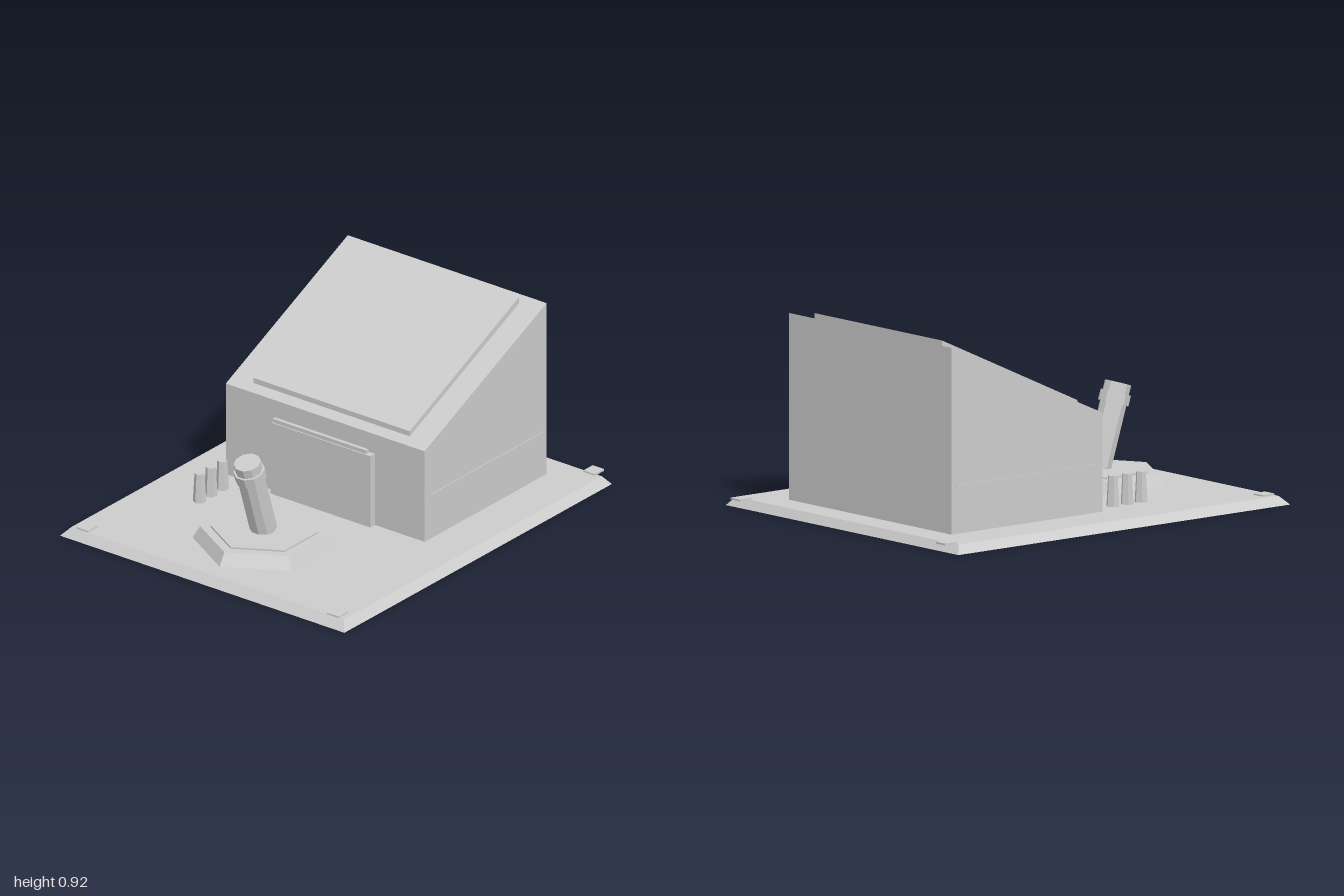
import * as THREE from 'three';

export function createModel() {
  const model = new THREE.Group();
  const material = new THREE.MeshStandardMaterial({ color: 0xcccccc, flatShading: true });

  function add(name, geometry, x = 0, y = 0, z = 0, parent = model) {
    const mesh = new THREE.Mesh(geometry, material);
    mesh.name = name;
    mesh.position.set(x, y, z);
    parent.add(mesh);
    return mesh;
  }

  // Box given by its extents on each axis
  function block(name, x0, x1, y0, y1, z0, z1) {
    return add(name, new THREE.BoxGeometry(x1 - x0, y1 - y0, z1 - z0),
      (x0 + x1) / 2, (y0 + y1) / 2, (z0 + z1) / 2);
  }

  // Side outline of [z, y] points, extruded across x
  function sideProfile(name, points, halfWidth) {
    const shape = new THREE.Shape(points.map(([z, y]) => new THREE.Vector2(-z, y)));
    const geometry = new THREE.ExtrudeGeometry(shape, { depth: halfWidth * 2, bevelEnabled: false });
    geometry.translate(0, 0, -halfWidth).rotateY(Math.PI / 2);
    return add(name, geometry);
  }

  // Prism standing on y0; first corner points to +z
  function prism(name, rTop, rBottom, y0, y1, sides, x, z, parent = model) {
    return add(name, new THREE.CylinderGeometry(rTop, rBottom, y1 - y0, sides),
      x, (y0 + y1) / 2, z, parent);
  }

  // Ground plate with sloping edges
  const plate = new THREE.BoxGeometry(1.645, 0.04, 1.975);
  const p = plate.attributes.position;
  for (let i = 0; i < p.count; i++) {
    if (p.getY(i) > 0) {
      p.setX(i, Math.sign(p.getX(i)) * 0.787);
      p.setZ(i, p.getZ(i) > 0 ? 0.948 : -0.958);
    }
  }
  plate.computeVertexNormals();
  add('groundPlate', plate, 0, 0.02, 0.0125);

  // Corner pads and side trim, mirrored
  for (const s of [-1, 1]) {
    const x = s * 0.725;
    block('frontPad', x - 0.033, x + 0.033, 0.038, 0.047, 0.89, 0.96);
    block('rearPad', x - 0.033, x + 0.033, 0.038, 0.047, -1, -0.93);
    block('sideTrim', s * 0.575 - 0.004, s * 0.575 + 0.004, 0.253, 0.265, -0.78, 0.06);
  }

  // Building with a sloping roof, and the panel lying on it
  sideProfile('building', [[0.092, 0.04], [-0.808, 0.04], [-0.808, 0.905], [0.092, 0.498]], 0.575);
  sideProfile('roofPanel', [[0.045, 0.515], [-0.76, 0.88], [-0.76, 0.916], [0.045, 0.545]], 0.452);

  // Door and the bar above it
  block('door', -0.288, 0.288, 0.04, 0.4, 0.088, 0.127);
  block('doorBar', -0.27, 0.27, 0.41, 0.428, 0.118, 0.137);

  // Hexagonal dais in two steps
  prism('dais', 0.295, 0.33, 0.04, 0.1, 6, 0, 0.542);
  prism('daisStep', 0.248, 0.248, 0.1, 0.108, 6, 0, 0.542);

  // Leaning post with a collar
  const post = new THREE.Group();
  post.name = 'leaningPost';
  post.position.set(0, 0.112, 0.547);
  post.rotation.x = 0.31;
  model.add(post);
  for (const part of [
    prism('postShaft', 0.063, 0.063, 0, 0.396, 10, 0, 0, post),
    prism('postCollar', 0.073, 0.073, 0.3, 0.35, 10, 0, 0, post),
  ]) part.rotation.y = Math.PI / 2;

  // Row of tapered pegs
  for (const z of [0.22, 0.305, 0.388]) prism('peg', 0.023, 0.031, 0.04, 0.182, 6, -0.495, z);

  return model;
}
